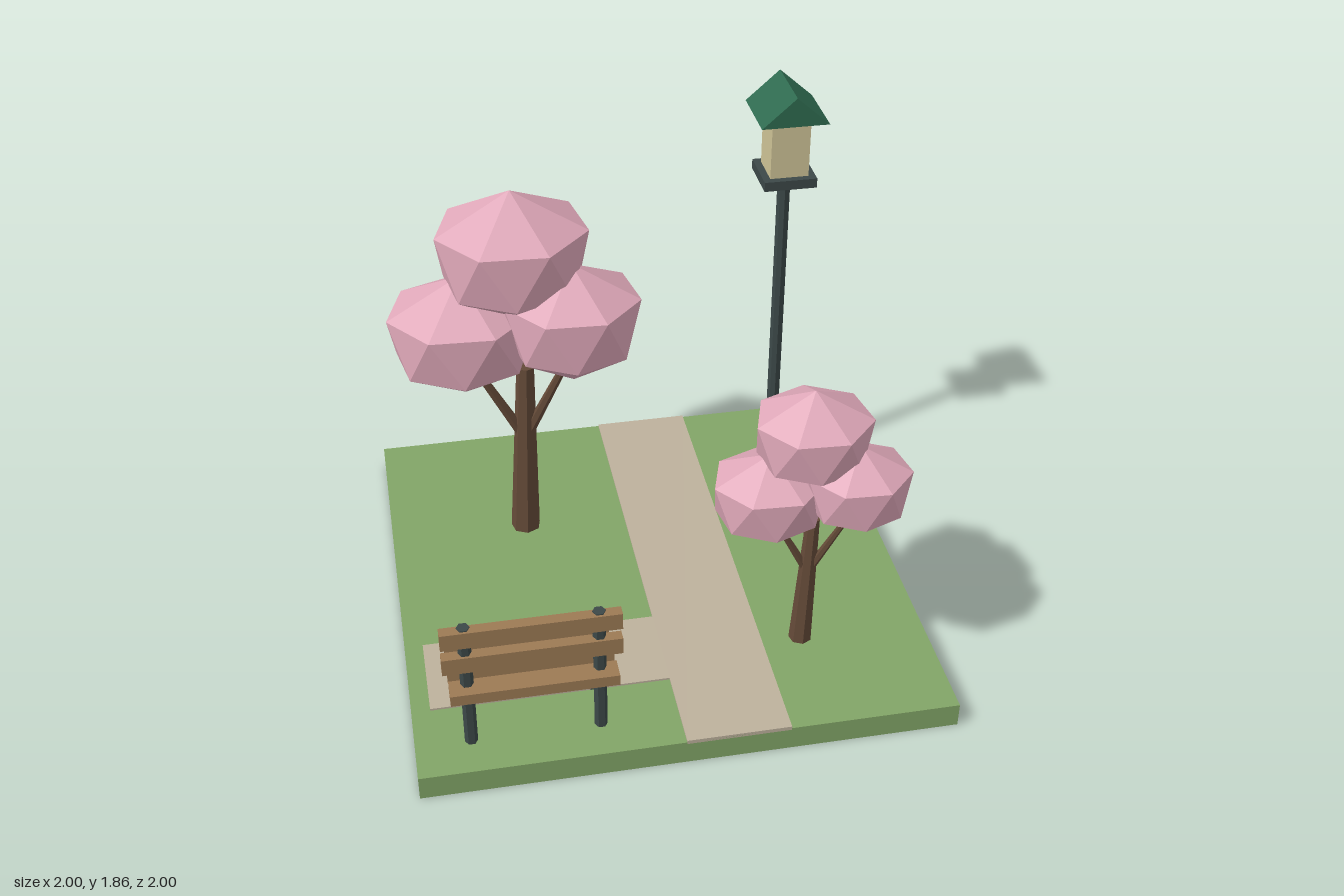
import * as THREE from 'three';

const mat = (name, color) => {
  const m = new THREE.MeshStandardMaterial({ color, flatShading: true });
  m.name = name;
  return m;
};

export function createModel() {
  const grass = mat('grass green', 0x82a567);
  const gravel = mat('path beige', 0xbdb19c);
  const blossom = mat('blossom pink', 0xdfa8b9);
  const bark = mat('bark brown', 0x644a38);
  const wood = mat('bench wood', 0x9c7a54);
  const metal = mat('dark metal', 0x3c4848);
  const roofGreen = mat('roof green', 0x2f6b50);
  const cream = mat('house cream', 0xcfc497);

  const model = new THREE.Group();
  model.name = 'parkCorner';

  const add = (parent, name, geometry, material) => {
    const mesh = new THREE.Mesh(geometry, material);
    mesh.name = name;
    parent.add(mesh);
    return mesh;
  };
  // Box given by its min and max corners
  const box = (parent, name, material, [x0, y0, z0], [x1, y1, z1]) =>
    add(parent, name, new THREE.BoxGeometry(x1 - x0, y1 - y0, z1 - z0), material)
      .position.set((x0 + x1) / 2, (y0 + y1) / 2, (z0 + z1) / 2);
  // Tapered rod between two points
  const rod = (parent, name, material, from, to, r0, r1, sides) => {
    const a = new THREE.Vector3(...from);
    const dir = new THREE.Vector3(...to).sub(a);
    const mesh = add(parent, name, new THREE.CylinderGeometry(r1, r0, dir.length(), sides), material);
    mesh.position.copy(a).addScaledVector(dir, 0.5);
    mesh.quaternion.setFromUnitVectors(new THREE.Vector3(0, 1, 0), dir.normalize());
    return mesh;
  };

  // Ground and paths
  box(model, 'lawn', grass, [-1, 0, -1], [1, 0.098, 1]);
  box(model, 'mainPath', gravel, [-0.03, 0.09, -1], [0.36, 0.106, 1]);
  box(model, 'sidePath', gravel, [-0.93, 0.09, 0.32], [-0.03, 0.106, 0.67]);

  // Faceted crown clump: two seven-sided rings, the lower one turned half a step
  const clumpGeometry = (() => {
    const n = 7, step = (Math.PI * 2) / n, phase = 0.285;
    const ring = (i, y, r, turn) => {
      const a = phase + (i + turn) * step;
      return [Math.cos(a) * r, y, Math.sin(a) * r];
    };
    const pos = [];
    for (let i = 0; i < n; i++) {
      const u0 = ring(i, 0.45, 1, 0), u1 = ring(i + 1, 0.45, 1, 0);
      const l0 = ring(i, -0.36, 0.92, 0.5), l1 = ring(i + 1, -0.36, 0.92, 0.5);
      pos.push(0, 1, 0, ...u1, ...u0);
      pos.push(...u0, ...u1, ...l0);
      pos.push(...l0, ...u1, ...l1);
      pos.push(0, -1, 0, ...l0, ...l1);
    }
    const g = new THREE.BufferGeometry();
    g.setAttribute('position', new THREE.Float32BufferAttribute(pos, 3));
    g.computeVertexNormals();
    return g;
  })();

  // Tree standing at its own origin
  const tree = (name, x, z, scale) => {
    const g = new THREE.Group();
    g.name = name;
    rod(g, 'trunk', bark, [0, -0.005, 0], [0.028, 0.795, 0], 0.061, 0.036, 7);
    [[-0.2, 0.87, 0.01], [0.19, 0.88, 0.1], [0.05, 1.0, -0.235]].forEach((end, i) =>
      rod(g, 'branch' + (i + 1), bark, [0.015, 0.45, 0], end, 0.024, 0.014, 6));
    // Crown: centre, then radii
    [
      [[-0.002, 1.297, 0], [0.297, 0.279, 0.278]],
      [[0.205, 1.05, 0.12], [0.267, 0.26, 0.245]],
      [[-0.212, 0.972, 0.01], [0.29, 0.264, 0.266]],
      [[0.05, 1.157, -0.228], [0.265, 0.241, 0.236]],
    ].forEach(([c, r], i) => {
      const m = add(g, 'crownClump' + (i + 1), clumpGeometry, blossom);
      m.position.set(...c);
      m.scale.set(...r);
    });
    g.position.set(x, 0.098, z);
    g.scale.setScalar(scale);
    model.add(g);
  };
  tree('largeTree', -0.443, -0.355, 1);
  tree('smallTree', 0.513, 0.528, 0.732);

  // Bench facing the side path
  const bench = new THREE.Group();
  bench.name = 'bench';
  model.add(bench);
  for (const z of [0.58, 0.702, 0.826])
    box(bench, 'seatSlat', wood, [-0.86, 0.335, z], [-0.257, 0.38, z + 0.08]);
  for (const y of [0.457, 0.571])
    box(bench, 'backSlat', wood, [-0.88, y, 0.834], [-0.24, y + 0.069, 0.876]);
  for (const x of [-0.795, -0.32])
    for (const [name, z, top] of [['backPost', 0.846, 0.644], ['frontLeg', 0.65, 0.362]])
      rod(bench, name, metal, [x, 0.09, z], [x, top, z], 0.024, 0.024, 6).rotateY(Math.PI / 2);

  // Birdhouse on a pole
  const house = new THREE.Group();
  house.name = 'birdhouse';
  house.position.set(0.697, 0, -0.688);
  model.add(house);
  rod(house, 'pole', metal, [0, 0.09, 0], [0, 1.455, 0], 0.027, 0.027, 8);
  box(house, 'platform', metal, [-0.107, 1.45, -0.107], [0.107, 1.49, 0.107]);
  box(house, 'houseBody', cream, [-0.078, 1.49, -0.078], [0.078, 1.717, 0.078]);
  const gable = new THREE.Shape([
    new THREE.Vector2(-0.136, 1.737),
    new THREE.Vector2(0.136, 1.737),
    new THREE.Vector2(0, 1.857),
  ]);
  add(house, 'roof', new THREE.ExtrudeGeometry(gable, { depth: 0.276, bevelEnabled: false }), roofGreen)
    .position.z = -0.138;

  return model;
}
